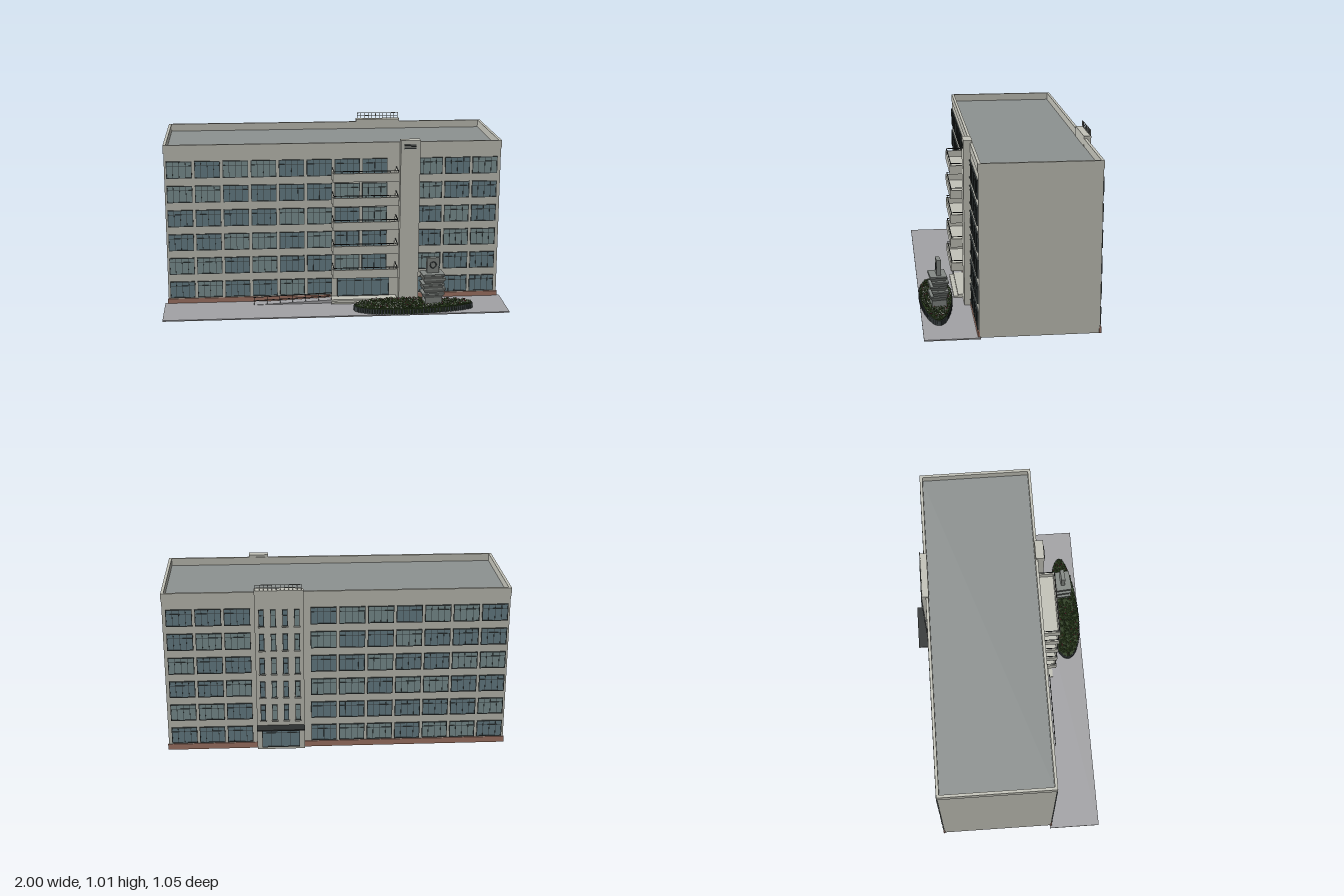
import * as THREE from 'three';
import { mergeGeometries } from 'three/addons/utils/BufferGeometryUtils.js';

const mat = (color) => new THREE.MeshStandardMaterial({ color });
const M = {
  wall: mat(0xc3c3b9), roof: mat(0x8d9291), frame: mat(0x3f4748), dark: mat(0x2c3030),
  glassA: mat(0x6a828b), glassB: mat(0x7f9596), brick: mat(0xa57868), paving: mat(0xa3a3a6),
  stone: mat(0x858a86), leaf: mat(0x3c5526), leafDark: mat(0x2b3d1d), flower: mat(0x8a3040),
};

// Box geometry from its min and max corners
function span(x0, x1, y0, y1, z0, z1) {
  return new THREE.BoxGeometry(x1 - x0, y1 - y0, z1 - z0)
    .translate((x0 + x1) / 2, (y0 + y1) / 2, (z0 + z1) / 2);
}

function add(parent, name, material, ...geometries) {
  const mesh = new THREE.Mesh(geometries.length > 1 ? mergeGeometries(geometries) : geometries[0], material);
  mesh.name = name;
  parent.add(mesh);
  return mesh;
}

// Framed window facing +z, standing on y = 0, with upright bars and one transom
function windowUnit(name, w, h, bars, transom, glass) {
  const g = new THREE.Group(), t = 0.004, d = 0.008;
  g.name = name;
  const parts = [
    span(-w / 2, w / 2, 0, t, 0, d), span(-w / 2, w / 2, h - t, h, 0, d),
    span(-w / 2, -w / 2 + t, t, h - t, 0, d), span(w / 2 - t, w / 2, t, h - t, 0, d),
    span(-w / 2 + t, w / 2 - t, transom - 0.0015, transom + 0.0015, 0, d - 0.002),
  ];
  for (const b of bars) parts.push(span(b * w - 0.0015, b * w + 0.0015, t, h - t, 0, d - 0.002));
  add(g, 'windowFrame', M.frame, ...parts);
  add(g, 'windowGlass', glass, span(-w / 2 + t, w / 2 - t, t, h - t, 0, 0.003));
  return g;
}

const FRONT = 0.227, BACK = -0.43, PITCH = 0.145;
const floorY = (f) => 0.04 + f * PITCH;
const columnX = (i) => -0.895 + i * 0.162;

function addWindows(root) {
  const kinds = [M.glassA, M.glassB].map((m) => windowUnit('window', 0.147, 0.1, [-0.25, 0, 0.25], 0.073, m));
  const place = (x, y, z, back, k) => {
    const w = kinds[k % 2].clone();
    w.position.set(x, y, z);
    if (back) w.rotation.y = Math.PI;
    root.add(w);
  };
  for (let f = 0; f < 6; f++) {
    for (let i = 0; i < 12; i++) {
      const entrance = f === 0 && (i === 6 || i === 7);
      if (i !== 8 && !entrance) place(columnX(i), floorY(f), FRONT, false, (i * 5 + f * 3 + (i >> 1)) % 7);
      if (i < 7 || i > 8) place(columnX(i), floorY(f), BACK, true, (i * 3 + f + (i >> 2)) % 5);
    }
  }
}

function addBuilding(root) {
  add(root, 'mainBlock', M.wall, span(-0.98, 0.98, 0, 0.912, BACK, FRONT));
  add(root, 'roof', M.roof, span(-0.97, 0.97, 0.91, 0.916, BACK + 0.01, FRONT - 0.01));
  const z0 = BACK - 0.003, z1 = FRONT + 0.003, t = 0.016;
  add(root, 'parapet', M.wall,
    span(-0.983, 0.983, 0.912, 0.96, z1 - t, z1), span(-0.983, 0.983, 0.912, 0.96, z0, z0 + t),
    span(-0.983, -0.983 + t, 0.912, 0.96, z0 + t, z1 - t), span(0.983 - t, 0.983, 0.912, 0.96, z0 + t, z1 - t));
  add(root, 'brickPlinth', M.brick,
    span(-0.985, -0.02, 0, 0.035, FRONT - 0.005, FRONT + 0.006), span(0.5, 0.985, 0, 0.035, FRONT - 0.005, FRONT + 0.006),
    span(-0.985, 0.19, 0, 0.035, BACK - 0.006, BACK + 0.005), span(0.465, 0.985, 0, 0.035, BACK - 0.006, BACK + 0.005));
  // Front pylon with a louvre near the top
  add(root, 'frontPylon', M.wall, span(0.385, 0.5, 0, 0.975, 0.217, 0.267));
  for (let i = 0; i < 3; i++) {
    const y = 0.925 + i * 0.01;
    add(root, 'louvreSlat', M.dark, span(0.405, 0.475, y, y + 0.006, 0.266, 0.272));
  }
}

function addBalconies(root) {
  const x0 = -0.015, x1 = 0.37, z1 = 0.335, t = 0.012;
  for (let f = 1; f < 6; f++) {
    const g = new THREE.Group();
    g.name = 'balcony';
    g.position.y = 0.17 + (f - 1) * PITCH;
    add(g, 'balconyShell', M.wall,
      span(x0, x1, 0, 0.014, FRONT - 0.005, z1), span(x0, x1, 0.014, 0.05, z1 - t, z1),
      span(x0, x0 + t, 0.014, 0.05, FRONT, z1 - t), span(x1 - t, x1, 0.014, 0.05, FRONT, z1 - t));
    const rail = [
      span(x0 + 0.004, x1 - 0.004, 0.06, 0.064, z1 - 0.008, z1 - 0.004),
      span(x0 + 0.004, x0 + 0.008, 0.06, 0.064, FRONT, z1 - 0.008),
      span(x1 - 0.008, x1 - 0.004, 0.06, 0.064, FRONT, z1 - 0.008)];
    for (let i = 0; i < 9; i++) {
      const x = x0 + 0.005 + i * (x1 - x0 - 0.013) / 8;
      rail.push(span(x, x + 0.003, 0.05, 0.06, z1 - 0.008, z1 - 0.005));
    }
    add(g, 'balconyRail', M.dark, ...rail);
    root.add(g);
  }
}

function addBackTower(root) {
  add(root, 'backTower', M.wall, span(0.19, 0.465, 0, 0.975, -0.457, -0.415));
  for (let f = 1; f < 6; f++) {
    for (let i = 0; i < 4; i++) {
      const w = windowUnit('slimWindow', 0.03, 0.1, [], 0.065, i % 2 ? M.glassA : M.glassB);
      w.position.set(0.2275 + i * 0.0667, floorY(f), -0.457);
      w.rotation.y = Math.PI;
      add(w, 'sill', M.wall, span(-0.019, 0.019, -0.006, 0, 0, 0.011));
      root.add(w);
    }
  }
  const door = windowUnit('backDoor', 0.22, 0.12, [-0.25, 0, 0.25], 0.09, M.glassA);
  door.position.set(0.3275, 0.015, -0.457);
  door.rotation.y = Math.PI;
  root.add(door);
  add(root, 'backCanopy', M.dark, span(0.19, 0.465, 0.146, 0.153, -0.525, -0.445));
  const rail = [0.99, 1.007].map((y) => span(0.2, 0.46, y, y + 0.003, -0.455, -0.452));
  for (let i = 0; i < 12; i++) {
    const x = 0.2 + i * 0.0233;
    rail.push(span(x, x + 0.003, 0.975, 1.01, -0.455, -0.452));
  }
  add(root, 'roofRail', M.stone, ...rail);
}

function addForecourt(root) {
  add(root, 'pavement', M.paving, span(-1, 1, 0, 0.007, 0.22, 0.522));
  add(root, 'entranceSteps', M.wall,
    span(-0.02, 0.37, 0.007, 0.026, FRONT, 0.295), span(-0.02, 0.37, 0.007, 0.016, 0.295, 0.32));
  const door = windowUnit('entranceDoor', 0.31, 0.125, [-0.33, -0.17, 0, 0.17, 0.33], 0.095, M.glassA);
  door.position.set(0.175, 0.026, FRONT);
  root.add(door);
  // Access ramp rising towards the entrance, with a handrail
  const profile = new THREE.Shape([[-0.48, 0.007], [-0.02, 0.007], [-0.02, 0.026]].map((p) => new THREE.Vector2(...p)));
  add(root, 'ramp', M.paving, new THREE.ExtrudeGeometry(profile, { depth: 0.055, bevelEnabled: false }).translate(0, 0, 0.243));
  const slope = Math.atan2(0.019, 0.46), bars = [];
  for (const h of [0.026, 0.046])
    bars.push(new THREE.BoxGeometry(0.46, 0.003, 0.003).rotateZ(slope).translate(-0.25, 0.0165 + h, 0.297));
  for (let i = 0; i < 7; i++) {
    const x = -0.478 + i * 0.076, y = 0.007 + (x + 0.48) * 0.0413;
    bars.push(span(x, x + 0.003, y, y + 0.046, 0.2955, 0.2985));
  }
  add(root, 'rampRail', M.dark, ...bars);
}

// Egg-shaped outline of the flower bed, scaled by r about its centre
const egg = (a, r = 1) => new THREE.Vector2(
  0.45 - 0.345 * r * Math.cos(a), 0.428 + 0.089 * r * Math.sin(a) * (1 + 0.22 * Math.cos(a)));

function addFlowerBed(root) {
  const outline = [];
  for (let i = 0; i < 48; i++) {
    const p = egg(i / 48 * Math.PI * 2);
    outline.push(new THREE.Vector2(p.x, -p.y));
  }
  add(root, 'flowerBed', M.leafDark, new THREE.ExtrudeGeometry(new THREE.Shape(outline), { depth: 0.036, bevelEnabled: false })
    .rotateX(-Math.PI / 2).translate(0, 0.005, 0));
  // Ring of short posts as the edging
  const posts = [];
  for (let i = 0; i < 110; i++) {
    const p = egg(i / 110 * Math.PI * 2);
    posts.push(new THREE.CylinderGeometry(0.006, 0.006, 0.03, 6).translate(p.x, 0.02, p.y));
  }
  add(root, 'bedEdging', M.frame, ...posts);
  // Scattered clumps of leaves and blossoms
  let seed = 7;
  const rnd = () => (seed = (seed * 16807) % 2147483647) / 2147483647;
  const clumps = [[], [], []];
  for (let i = 0; i < 620; i++) {
    const p = egg(rnd() * Math.PI * 2, Math.sqrt(rnd()) * 0.99), kind = i % 9 === 0 ? 2 : i % 2;
    const s = kind === 2 ? 0.0045 : 0.009;
    clumps[kind].push(new THREE.OctahedronGeometry(s).rotateY(rnd() * 3)
      .translate(p.x, (kind === 2 ? 0.048 : 0.041) + rnd() * 0.005, p.y));
  }
  add(root, 'foliage', M.leaf, ...clumps[0]);
  add(root, 'darkFoliage', M.leafDark, ...clumps[1]);
  add(root, 'blossoms', M.flower, ...clumps[2]);
}

function addSculpture(root) {
  const g = new THREE.Group();
  g.name = 'sculpture';
  g.position.set(0.56, 0, 0.42);
  g.rotation.y = 0.08;
  add(g, 'sculptureBase', M.stone, span(-0.05, 0.05, 0.03, 0.082, -0.042, 0.042));
  // Stacked slabs, each flaring upwards and nudged off centre
  for (let i = 0; i < 5; i++) {
    const slab = new THREE.CylinderGeometry(1, 0.78, 0.021, 4).rotateY(Math.PI / 4)
      .scale(0.092 + 0.004 * (i % 2), 1, 0.066 + 0.005 * ((i + 1) % 2));
    const shift = i % 2 ? 0.004 : -0.004;
    const rim = new THREE.BoxGeometry(0.13, 0.008, 0.094).translate(0, 0.0145, 0);
    const m = add(g, 'sculptureSlab', M.stone, slab, rim);
    m.position.set(shift, 0.0925 + i * 0.0285, -shift);
    m.material.flatShading = true;
  }
  add(g, 'sculptureTablet', M.stone, span(-0.036, 0.036, 0.22, 0.315, -0.012, 0.012));
  const ring = add(g, 'tabletRing', M.frame, new THREE.TorusGeometry(0.018, 0.003, 6, 16));
  ring.position.set(0, 0.272, 0.012);
  root.add(g);
}

export function createModel() {
  const root = new THREE.Group();
  root.name = 'officeBuilding';
  addBuilding(root);
  addWindows(root);
  addBalconies(root);
  addBackTower(root);
  addForecourt(root);
  addFlowerBed(root);
  addSculpture(root);
  return root;
}
